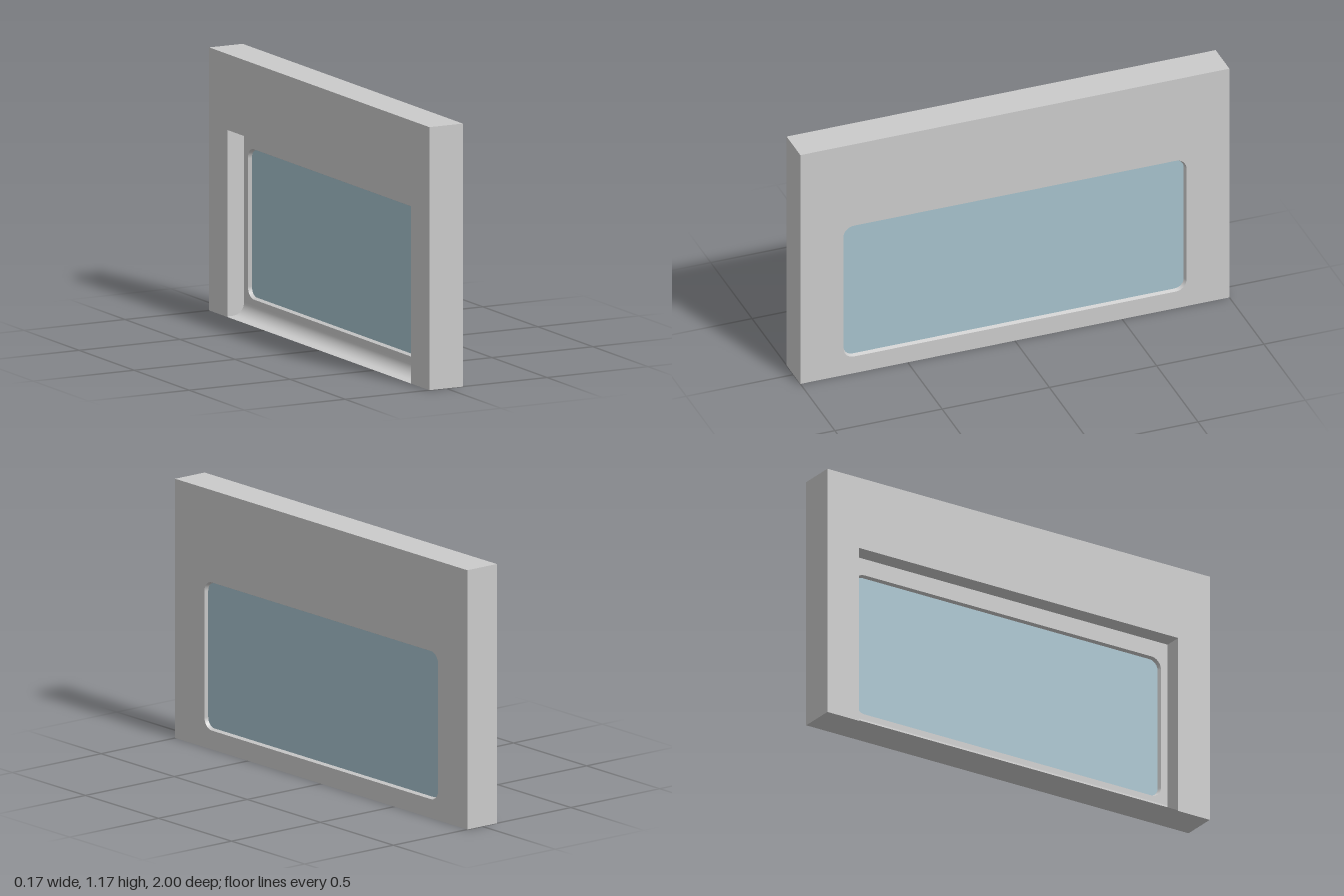
import * as THREE from 'three';

const X = 0.083, H = 1.167;                    // half thickness, height
const NICHE_Z = 0.835, NICHE_TOP = 0.83;       // recess on the inner side
const WIN = { z: 0.8, y0: 0.085, y1: 0.752, r: 0.05 };

// Rounded rectangle outline in (z, y), optionally shrunk
function windowPoints(inset = 0) {
  const z = WIN.z - inset, y0 = WIN.y0 + inset, y1 = WIN.y1 - inset, r = WIN.r - inset;
  const corners = [[z - r, y0 + r], [z - r, y1 - r], [-z + r, y1 - r], [-z + r, y0 + r]];
  const pts = [];
  corners.forEach(([cz, cy], i) => {
    for (let k = 0; k <= 8; k++) {
      const a = (i - 1 + k / 8) * Math.PI / 2;
      pts.push(new THREE.Vector2(cz + r * Math.cos(a), cy + r * Math.sin(a)));
    }
  });
  return pts;
}

const poly = (...pairs) => pairs.map(([z, y]) => new THREE.Vector2(z, y));
const at = (pts, x) => pts.map(p => new THREE.Vector3(x, p.y, p.x));

// Flat face at x, looking along +x (dir 1) or -x (dir -1)
function face(pts, x, dir, hole) {
  const shape = new THREE.Shape(pts);
  if (hole) shape.holes.push(new THREE.Path(hole));
  return new THREE.ShapeGeometry(shape).rotateY(dir * Math.PI / 2).translate(x, 0, 0);
}

// Surface stretched between two matching 3D outlines
function strip(a, b, closed, smooth) {
  const pos = [], index = [], n = a.length;
  a.forEach((p, i) => pos.push(...p.toArray(), ...b[i].toArray()));
  for (let i = 0; i < (closed ? n : n - 1); i++) {
    const p = 2 * i, q = 2 * ((i + 1) % n);
    index.push(p, p + 1, q, q, p + 1, q + 1);
  }
  let geo = new THREE.BufferGeometry();
  geo.setAttribute('position', new THREE.Float32BufferAttribute(pos, 3));
  geo.setIndex(index);
  if (!smooth) geo = geo.toNonIndexed();
  geo.computeVertexNormals();
  return geo;
}

export function createModel() {
  const model = new THREE.Group();
  model.name = 'windowWall';
  const wallGrey = new THREE.MeshStandardMaterial({ color: 0xcacaca, side: THREE.DoubleSide });
  wallGrey.name = 'wallGrey';
  const glassBlue = new THREE.MeshStandardMaterial({ color: 0xa5c1cc, side: THREE.DoubleSide });
  glassBlue.name = 'glassBlue';
  const add = (name, geo, mat = wallGrey) => {
    const mesh = new THREE.Mesh(geo, mat);
    mesh.name = name;
    model.add(mesh);
  };

  // Outer block: rim all round, outer face with window, inner face with open recess
  const rect = poly([-1, 0], [1, 0], [1, H], [-1, H]);
  add('wallRim', strip(at(rect, X), at(rect, -X), true, false));
  add('outerFace', face(rect, X, 1, windowPoints()));
  add('innerFace', face(poly([-1, 0], [-NICHE_Z, 0], [-NICHE_Z, NICHE_TOP],
    [NICHE_Z, NICHE_TOP], [NICHE_Z, 0], [1, 0], [1, H], [-1, H]), -X, -1));

  // Recess: sides and ceiling, back wall with window, floor curving up to the back
  const arch = poly([NICHE_Z, 0], [NICHE_Z, NICHE_TOP], [-NICHE_Z, NICHE_TOP], [-NICHE_Z, 0]);
  add('recessSides', strip(at(arch, 0), at(arch, -X), false, false));
  add('recessBack', face(arch, 0, -1, windowPoints()));
  const r = 0.055, lift = 0.003, profile = [[-X, lift]];
  for (let k = 0; k <= 10; k++) {
    const a = k / 10 * Math.PI / 2;
    profile.push([-r + r * Math.sin(a), lift + r - r * Math.cos(a)]);
  }
  const floorEdge = z => profile.map(([x, y]) => new THREE.Vector3(x, y, z));
  add('recessFloor', strip(floorEdge(-NICHE_Z), floorEdge(NICHE_Z), false, true));

  // Window: narrow sloping reveal and pane on each side
  const depth = 0.016, inset = 0.007;
  for (const [side, x, dir] of [['outer', X, 1], ['inner', 0, -1]]) {
    const outline = at(windowPoints(), x), paneX = x - dir * depth;
    const seat = at(windowPoints(inset), paneX);
    add(side + 'Reveal', dir > 0 ? strip(seat, outline, true, true) : strip(outline, seat, true, true));
    add(side + 'Pane', face(windowPoints(inset), paneX, dir), glassBlue);
  }
  return model;
}
